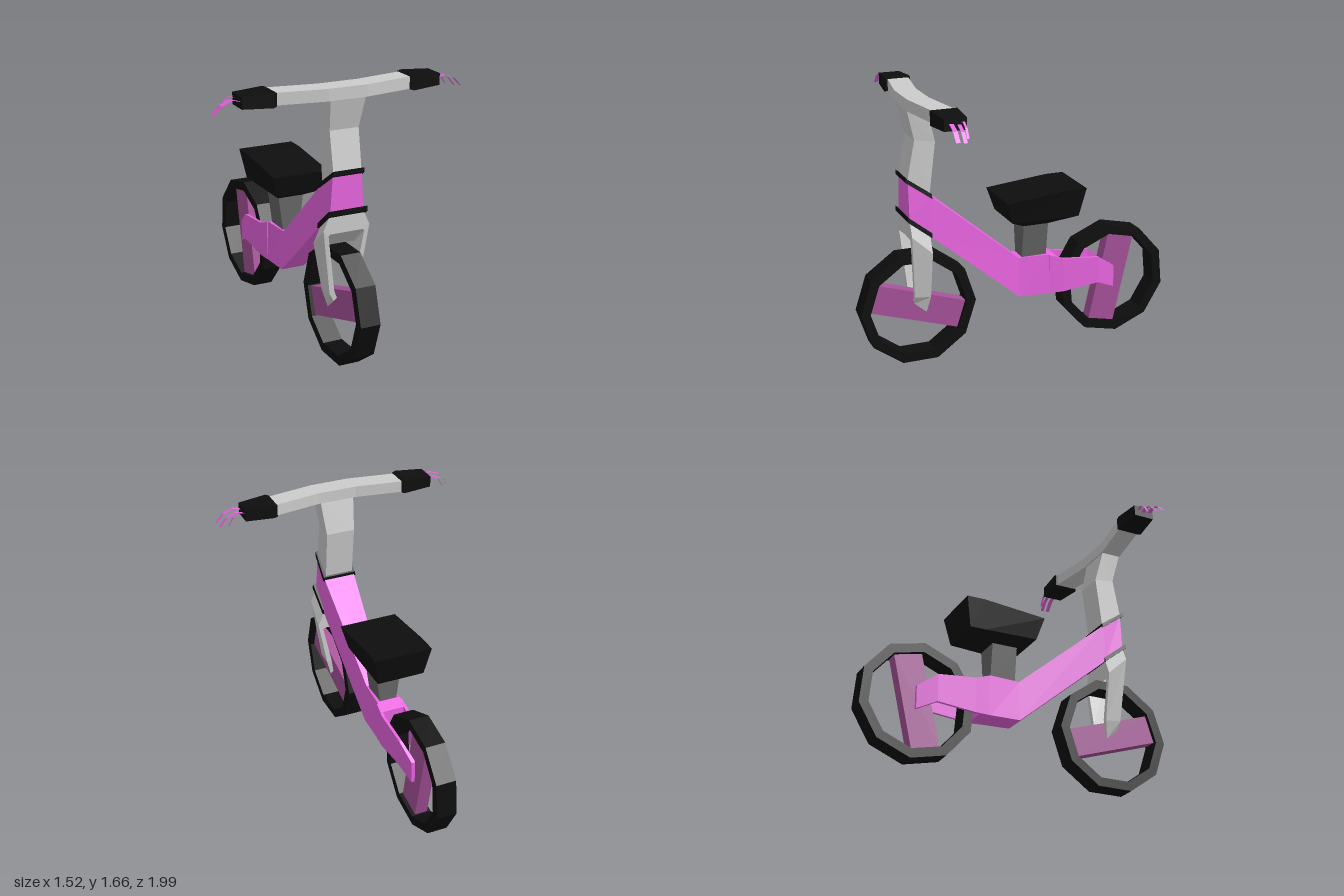
import * as THREE from 'three';

const material = (color) => new THREE.MeshStandardMaterial({ color, flatShading: true });
const grey = material(0xcccccc);
const darkGrey = material(0x666666);
const black = material(0x0e0e0e);
const pink = material(0xe864df);
const plum = material(0xa65199);
const ribbonMat = material(0xe864df);
ribbonMat.side = THREE.DoubleSide;

// Skins a row of equal-sized rings of [x, y, z] corners and caps both ends.
function loft(name, rings, mat) {
  const tris = [];
  const n = rings[0].length;
  for (let r = 0; r < rings.length - 1; r++) {
    for (let i = 0; i < n; i++) {
      const a = rings[r][i], b = rings[r][(i + 1) % n];
      const c = rings[r + 1][(i + 1) % n], d = rings[r + 1][i];
      tris.push([a, b, c], [a, c, d]);
    }
  }
  const first = rings[0], last = rings[rings.length - 1];
  for (let i = 1; i < n - 1; i++) {
    tris.push([first[0], first[i + 1], first[i]], [last[0], last[i], last[i + 1]]);
  }
  // Turn the faces outward if the rings run the other way round
  let volume = 0;
  for (const [a, b, c] of tris) {
    volume += new THREE.Vector3(...a).dot(new THREE.Vector3(...b).cross(new THREE.Vector3(...c)));
  }
  if (volume < 0) tris.forEach((t) => t.reverse());
  const geo = new THREE.BufferGeometry();
  geo.setAttribute('position', new THREE.Float32BufferAttribute(tris.flat(2), 3));
  geo.computeVertexNormals();
  const mesh = new THREE.Mesh(geo, mat);
  mesh.name = name;
  return mesh;
}

// Ring across the width: top edge and bottom edge at their own z, y and half width
const across = (zt, yt, wt, zb, yb, wb) =>
  [[wt, yt, zt], [-wt, yt, zt], [-wb, yb, zb], [wb, yb, zb]];
// Upright ring at one x
const atX = (x, y0, y1, z0, z1) => [[x, y0, z0], [x, y1, z0], [x, y1, z1], [x, y0, z1]];
const mirrorRing = (ring) => ring.map(([x, y, z]) => [-x, y, z]);

// Ten-sided tyre with a single wide spoke across it
function makeWheel(name, z, degrees) {
  const wheel = new THREE.Group();
  wheel.name = name;
  const w = 0.062, outer = 0.36, inner = 0.302;
  const profile = [[outer, -w], [outer, w], [inner, w], [inner, -w], [outer, -w]]
    .map(([r, y]) => new THREE.Vector2(r, y));
  const tyre = new THREE.Mesh(new THREE.LatheGeometry(profile, 10).rotateZ(Math.PI / 2), black);
  tyre.name = 'tyre';
  const spoke = new THREE.Mesh(new THREE.BoxGeometry(0.08, 0.175, 0.57), plum);
  spoke.name = 'spoke';
  spoke.rotation.x = -Math.PI / 10;
  wheel.add(tyre, spoke);
  wheel.position.set(0, 0.362, z);
  wheel.rotation.x = THREE.MathUtils.degToRad(degrees);
  return wheel;
}

// Flat strip along points in x and y, with its width along z
function makeRibbon(points, z, width) {
  const geo = new THREE.PlaneGeometry(1, 1, points.length - 1, 1);
  const pos = geo.attributes.position;
  for (let i = 0; i < pos.count; i++) {
    const [x, y] = points[i % points.length];
    pos.setXYZ(i, x, y, z + (i < points.length ? -width / 2 : width / 2));
  }
  geo.computeVertexNormals();
  const mesh = new THREE.Mesh(geo, ribbonMat);
  mesh.name = 'streamer';
  return mesh;
}

// Fork leg ring: outer and inner point, front and back z, drop towards the back
const forkRing = (xo, yo, xi, yi, zf, zb, drop) =>
  [[xo, yo, zf], [xo, yo - drop, zb], [xi, yi - drop, zb], [xi, yi, zf]];

// Seat ring with six corners: half width, then [z, y] at the front, middle and back
const seatRing = (w, f, m, b) => [
  [w, m[1], m[0]], [w, b[1], b[0]], [-w, b[1], b[0]],
  [-w, m[1], m[0]], [-w, f[1], f[0]], [w, f[1], f[0]],
];

export function createModel() {
  const bike = new THREE.Group();
  bike.name = 'bicycle';

  // Wheels
  bike.add(makeWheel('frontWheel', 0.64, 0), makeWheel('rearWheel', -0.64, -84.6));

  // Frame body from the head down to the rear wheel
  bike.add(loft('frame', [
    across(0.7, 1.175, 0.09, 0.7, 0.94, 0.105),
    across(0.57, 1.07, 0.1, 0.575, 0.825, 0.108),
    across(0, 0.59, 0.062, 0, 0.34, 0.075),
    across(-0.19, 0.59, 0.075, -0.19, 0.336, 0.08),
    across(-0.26, 0.562, 0.08, -0.26, 0.335, 0.084),
  ], pink));

  // Plates on both sides of the rear wheel
  for (const s of [1, -1]) {
    const plate = [
      [-0.2, 0.586, 0.335, 0.082, 0.066],
      [-0.29, 0.553, 0.335, 0.088, 0.07],
      [-0.53, 0.53, 0.36, 0.088, 0.07],
      [-0.65, 0.445, 0.305, 0.062, 0.036],
    ].map(([z, yt, yb, xo, xi]) =>
      [[s * xo, yt, z], [s * xi, yt, z], [s * xi, yb, z], [s * xo, yb, z]]);
    bike.add(loft(s > 0 ? 'rearPlateLeft' : 'rearPlateRight', plate, pink));
  }

  // Slanted collars above and below the head
  bike.add(loft('upperCollar', [
    across(0.715, 1.192, 0.097, 0.715, 1.165, 0.1),
    across(0.56, 1.08, 0.106, 0.56, 1.053, 0.11),
  ], black));
  bike.add(loft('lowerCollar', [
    across(0.715, 0.962, 0.122, 0.715, 0.932, 0.125),
    across(0.567, 0.845, 0.115, 0.567, 0.815, 0.118),
  ], black));

  // Fork: one bent bar from foot to foot over the crown
  const forkHalf = [
    forkRing(0.06, 0.395, 0.04, 0.41, 0.67, 0.595, 0.065),
    forkRing(0.09, 0.445, 0.06, 0.46, 0.675, 0.575, 0.01),
    forkRing(0.145, 0.845, 0.113, 0.81, 0.7, 0.575, 0.115),
    forkRing(0.105, 0.935, 0.105, 0.82, 0.7, 0.575, 0.115),
  ];
  bike.add(loft('fork', [...forkHalf, ...forkHalf.map(mirrorRing).reverse()], grey));

  // Stem with its kink
  bike.add(loft('stem', [
    across(0.7, 1.18, 0.088, 0.57, 1.07, 0.088),
    across(0.655, 1.41, 0.09, 0.53, 1.39, 0.09),
    across(0.7, 1.595, 0.108, 0.58, 1.595, 0.108),
  ], grey));

  // Swept-back handlebar
  const barHalf = [atX(0.43, 1.59, 1.66, 0.52, 0.65), atX(0.12, 1.59, 1.66, 0.57, 0.7)];
  bike.add(loft('handlebar', [...barHalf, ...barHalf.map(mirrorRing).reverse()], grey));

  // Grips with streamers
  for (const s of [1, -1]) {
    const grip = [
      atX(s * 0.41, 1.588, 1.662, 0.513, 0.663),
      atX(s * 0.43, 1.582, 1.668, 0.512, 0.67),
      atX(s * 0.607, 1.59, 1.658, 0.522, 0.65),
    ];
    bike.add(loft(s > 0 ? 'gripLeft' : 'gripRight', grip, black));
    const streamers = new THREE.Group();
    streamers.name = s > 0 ? 'streamersLeft' : 'streamersRight';
    for (const [z, length, y, width] of [[0.55, 0.1, 1.63, 0.014], [0.58, 0.145, 1.62, 0.022], [0.625, 0.155, 1.628, 0.026]]) {
      const path = [[0, 0], [0.3, 0.014], [0.7, -0.012], [1, -0.062]];
      streamers.add(makeRibbon(path.map(([t, dy]) => [s * (0.605 + t * length), y + dy]), z, width));
    }
    bike.add(streamers);
  }

  // Seat and its flared post
  bike.add(loft('seat', [
    seatRing(0.085, [-0.025, 0.8], [-0.13, 0.8], [-0.185, 0.8]),
    seatRing(0.147, [0.075, 0.85], [-0.26, 0.845], [-0.36, 0.845]),
    seatRing(0.18, [0.115, 0.985], [-0.28, 1.025], [-0.395, 1.025]),
  ], black));
  const postRing = (y, w) => [[w, y, -0.025], [w, y, -0.185], [-w, y, -0.185], [-w, y, -0.025]];
  bike.add(loft('seatPost', [postRing(0.575, 0.052), postRing(0.805, 0.083)], darkGrey));

  return bike;
}
